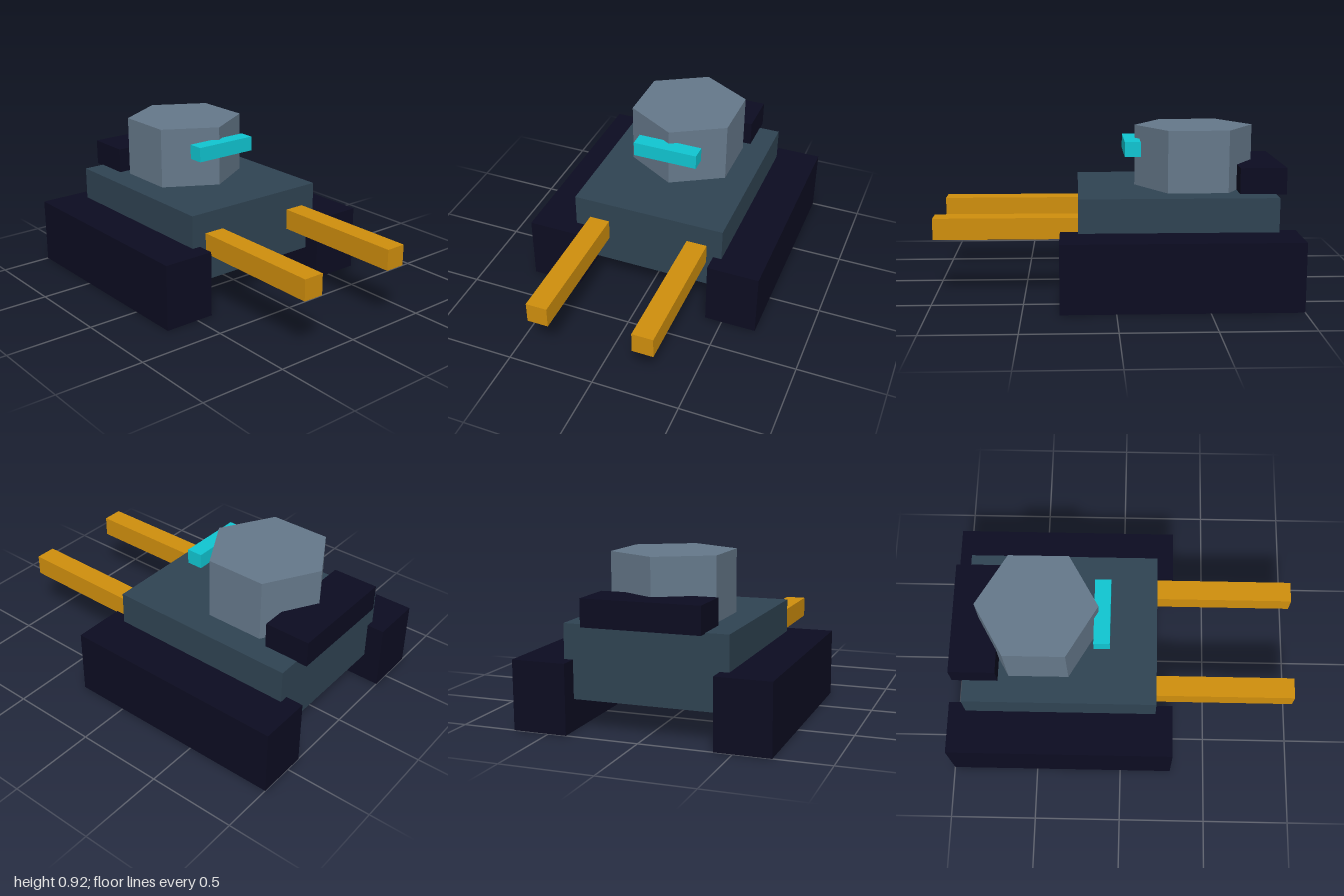
import * as THREE from 'three';

function material(name, color) {
  const m = new THREE.MeshStandardMaterial({ color });
  m.name = name;
  return m;
}

export function createModel() {
  const model = new THREE.Group();
  model.name = 'forkVehicle';

  const slate = material('dark slate', 0x2f4352);
  const grey = material('blue grey', 0x65788a);
  const black = material('near black', 0x0c0c21);
  const amber = material('amber', 0xcf8e0d);
  const cyan = material('cyan', 0x10c5d1);

  // Box given by its lower and upper corners
  function box(name, mat, [x0, y0, z0], [x1, y1, z1]) {
    const mesh = new THREE.Mesh(new THREE.BoxGeometry(x1 - x0, y1 - y0, z1 - z0), mat);
    mesh.position.set((x0 + x1) / 2, (y0 + y1) / 2, (z0 + z1) / 2);
    mesh.name = name;
    model.add(mesh);
    return mesh;
  }

  // Hull
  box('hull', slate, [-0.45, 0.17, -0.9], [0.45, 0.57, 0.2]);

  // Tracks and lifting forks, mirrored left and right
  for (const [side, s] of [['left', 1], ['right', -1]]) {
    const track = box(side + 'Track', black, [0.4, 0, -1], [0.7, 0.38, 0.3]);
    const fork = box(side + 'Fork', amber, [0.24, 0.33, 0.19], [0.36, 0.45, 1]);
    track.position.x *= s;
    fork.position.x *= s;
  }

  // Six-sided cab with a corner pointing forward
  const cabShape = new THREE.CylinderGeometry(0.34, 0.34, 0.35, 6).toNonIndexed();
  cabShape.computeVertexNormals();
  const cab = new THREE.Mesh(cabShape, grey);
  cab.name = 'cab';
  cab.position.set(0, 0.745, -0.47);
  model.add(cab);

  // Visor bar and rear counterweight
  box('visor', cyan, [-0.19, 0.76, -0.155], [0.19, 0.845, -0.065]);
  box('counterweight', black, [-0.325, 0.566, -0.96], [0.325, 0.715, -0.7]);

  return model;
}
